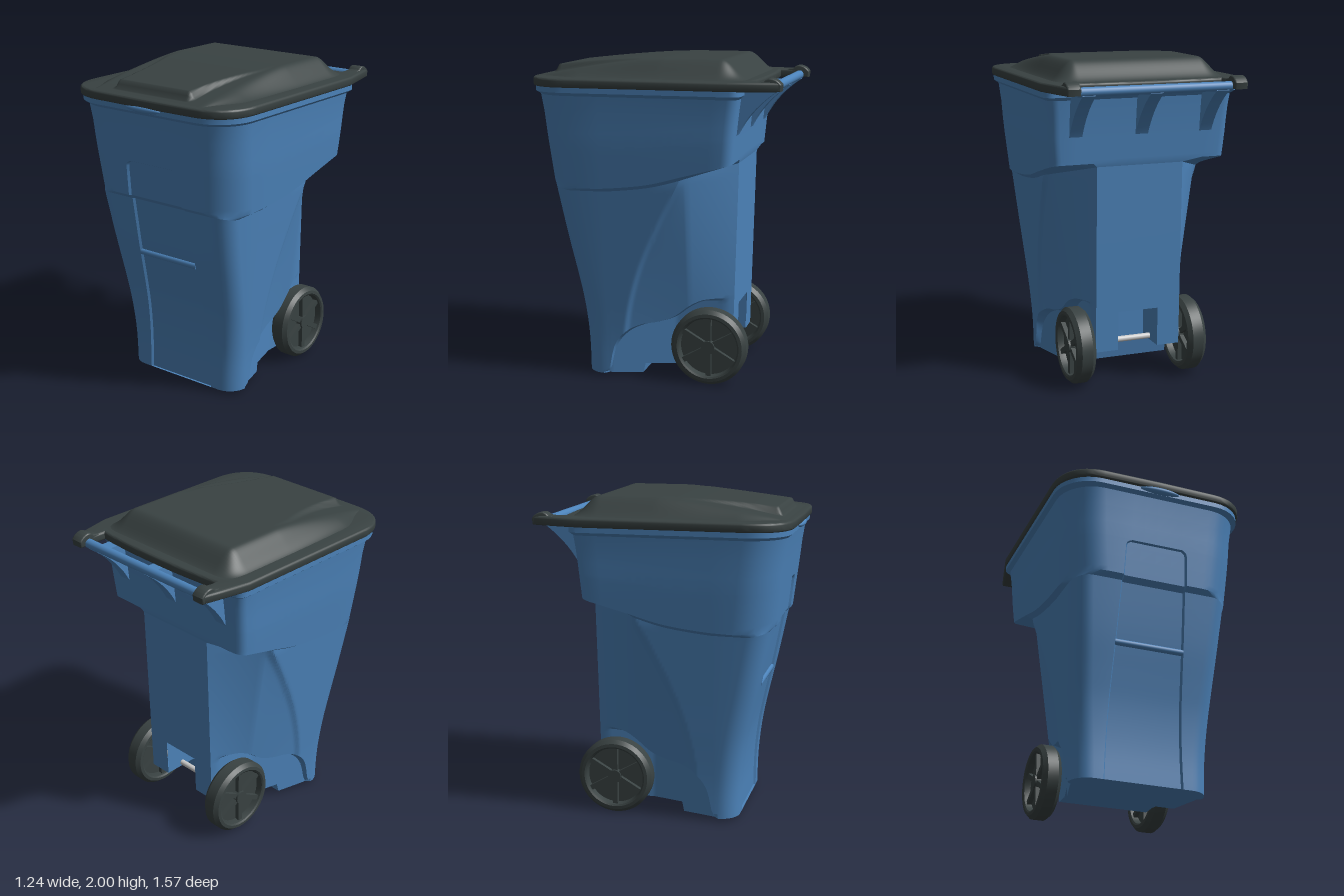
import * as THREE from 'three';
import { toCreasedNormals } from 'three/addons/utils/BufferGeometryUtils.js';

const blue = new THREE.MeshStandardMaterial({ color: 0x4c83ba, side: THREE.DoubleSide });
const dark = new THREE.MeshStandardMaterial({ color: 0x394242, side: THREE.DoubleSide });
const grey = new THREE.MeshStandardMaterial({ color: 0xcccccc });
const { lerp, smoothstep, clamp } = THREE.MathUtils;

// Smooth curve through [input, output] pairs, constant beyond the ends
const curve = (...k) => {
  const slope = k.map((_, i) => {
    const a = k[Math.max(i - 1, 0)], b = k[Math.min(i + 1, k.length - 1)];
    return (b[1] - a[1]) / (b[0] - a[0]);
  });
  return (t) => {
    if (t <= k[0][0]) return k[0][1];
    for (let i = 1; i < k.length; i++)
      if (t <= k[i][0]) {
        const h = k[i][0] - k[i - 1][0], u = (t - k[i - 1][0]) / h, v = 1 - u;
        return v * v * (1 + 2 * u) * k[i - 1][1] + u * u * (1 + 2 * v) * k[i][1]
          + h * u * v * (v * slope[i - 1] - u * slope[i]);
      }
    return k[k.length - 1][1];
  };
};

// Profiles of the lower body and the wider upper body, by height
const lower = {
  front: curve([0, .455], [.2, .459], [.35, .47], [.5, .49], [.65, .52], [.9, .575], [1.24, .642]),
  side: curve([0, .425], [.25, .432], [.6, .458], [1.24, .51]),
  back: curve([0, -.45], [1.4, -.485]), radius: .12,
};
const upper = {
  front: curve([1.2, .665], [1.5, .70], [1.78, .735], [1.80, .757], [1.83, .757]),
  side: curve([1.2, .538], [1.5, .565], [1.78, .585], [1.80, .611], [1.83, .611]),
  back: curve([1.2, -.48], [1.39, -.49], [1.78, -.53], [1.80, -.55], [1.83, -.55]), radius: .235,
};
// Sloping edge between the two, side crease, rear corner, wheel-well line, foot step
const edgeY = curve([-.49, 1.39], [-.2, 1.31], [0, 1.255], [.2, 1.225], [.4, 1.21], [.55, 1.215], [.66, 1.24]);
const creaseZ = curve([0, .2], [.35, .195], [.7, .11], [1.02, -.03], [1.28, -.17]);
const cornerX = curve([.1, .33], [1.3, .495]);
const wellY = curve([-.35, .52], [-.27, .51], [-.2, .475], [-.1, .4], [0, .365], [.1, .345], [.2, .29], [.27, .19], [.302, .04]);
const footY = (z) => (z > .09 ? .02 : z > -.21 ? .08 : .215);

const ARC = 8, SIDE = 38, CH = 10, NOTCH = .13;
const HALF = 4 + ARC + 1 + SIDE + CH + 2; // points from front centre to back centre

// One point of the half outline at height y
function outline(s, i, y) {
  const f = s.front(y), w = s.side(y), b = s.back(y), r = s.radius, low = s === lower;
  const backX = low ? .275 : .3;
  if (i < 4) {
    const top = clamp((y - 1.44) / .03, 0, 1); // rounded top of the front panel
    const p = .25 - .05 * y / 1.46 - .03 * (1 - Math.sqrt(1 - top * top));
    return [[0, p / 2, p - .01, p][i], f - (i < 3 && y < 1.472 ? .014 : 0)];
  }
  i -= 4;
  if (i <= ARC) {
    const a = i / ARC * Math.PI / 2;
    return [w - r + r * Math.sin(a), f - r + r * Math.cos(a)];
  }
  i -= ARC + 1;
  let x, z;
  if (i < SIDE) {
    z = lerp(.31, -.2, i / (SIDE - 1));
    x = w;
    if (low) {
      const c = creaseZ(y), k = clamp((c - z) / (c + .2 + 1e-4), 0, 1);
      x = lerp(w, cornerX(y), k) - .012 * smoothstep(c - z, 0, .03);
    }
  } else if (i < SIDE + CH) {
    const t = (i - SIDE + 1) / CH, q = .06;
    if (low) {
      x = lerp(cornerX(y) - .012, backX, t);
      z = lerp(-.2, b, t);
    } else {
      const a = clamp((t - .3) / .5, 0, 1) * Math.PI / 2;
      x = lerp(w - q + q * Math.cos(a), backX, clamp((t - .8) / .2, 0, 1));
      z = t <= .3 ? lerp(-.2, b + q, t / .3) : b + q - q * Math.sin(a);
    }
  } else return [i === SIDE + CH ? NOTCH : 0, b];
  // Wheel well
  if (low) x = lerp(x, Math.min(x, lerp(.29, .395, clamp((z + .1) / .4, 0, 1))), smoothstep(wellY(z) - y, -.006, .01));
  return [x, z];
}

// Closed ring whose heights follow sloping lines
function ring(s, nominal, heightAt) {
  const half = [];
  for (let i = 0; i < HALF; i++) {
    const y = heightAt(outline(s, i, nominal)[1]);
    const [x, z] = outline(s, i, y);
    half.push([x, y, z]);
  }
  return half.concat(half.slice(1, -1).reverse().map(([x, y, z]) => [-x, y, z]));
}

function quads(build) {
  const pos = [];
  build((a, b, c, d) => pos.push(...a, ...b, ...c, ...a, ...c, ...d));
  const g = new THREE.BufferGeometry();
  g.setAttribute('position', new THREE.Float32BufferAttribute(pos, 3));
  return toCreasedNormals(g, .55);
}

function loft(rows, quad, skip = () => false) {
  for (let j = 0; j + 1 < rows.length; j++)
    rows[j].forEach((p, i) => {
      const n = (i + 1) % rows[j].length;
      if (!skip(i, j)) quad(p, rows[j][n], rows[j + 1][n], rows[j + 1][i]);
    });
}

export function createModel() {
  const model = new THREE.Group();
  const add = (name, geometry, material, x = 0, y = 0, z = 0, parent = model) => {
    const m = new THREE.Mesh(geometry, material);
    m.name = name;
    m.position.set(x, y, z);
    parent.add(m);
    return m;
  };

  // Lower body: rows up to the wheel-well line, then up to the ledge
  const WELL = 12, CUT = 10, ROWS = 36, lowRows = [];
  for (let j = 0; j <= WELL; j++)
    lowRows.push(ring(lower, .04, (z) => lerp(footY(z), wellY(z) - .011, j / WELL)));
  for (let j = 0; j <= ROWS; j++) {
    const t = j / ROWS;
    lowRows.push(ring(lower, lerp(.047, 1.24, t), (z) => lerp(wellY(z) + .007, edgeY(z) - .015, t)));
  }
  add('lowerBody', quads((quad) => {
    loft(lowRows, quad, (i, j) => j < CUT && (i === HALF - 2 || i === HALF - 1));
    // Floor with foot step, raised rear and axle notch
    const m = ([x, y, z]) => [-x, y, z], base = lowRows[0];
    for (let i = 1; i < HALF - 2; i++) {
      const a = base[i], b = base[i + 1];
      if (a[2] > -.21) quad(a, m(a), m(b), b);
      else {
        const c = [NOTCH, a[1], a[2]], d = [NOTCH, b[1], b[2]];
        quad(a, c, d, b);
        quad(m(c), m(a), m(b), m(d));
      }
    }
    const top = lowRows[CUT][HALF - 2][1], n = NOTCH, q = -.225, b = -.455, y = .215;
    quad([n, y, q], [-n, y, q], [-n, top, q], [n, top, q]);
    quad([n, top, q], [-n, top, q], [-n, top, b], [n, top, b]);
    quad([n, y, b], [n, y, q], [n, top, q], [n, top, b]);
    quad([-n, y, q], [-n, y, b], [-n, top, b], [-n, top, q]);
  }), blue);

  // Upper body, ledge and rim
  const upRows = [lowRows[lowRows.length - 1]];
  for (const t of [0, .06, .2, .36, .39, .415, .427, .437, .6, .8, 1])
    upRows.push(ring(upper, lerp(1.24, 1.78, t), (z) => lerp(edgeY(z) + .008, 1.78, t)));
  for (const y of [1.8, 1.832]) upRows.push(ring(upper, y, () => y));
  add('upperBody', quads((quad) => loft(upRows, quad)), blue);

  // Grab bar on the front panel and lip under the lid
  const bar = (r, l) => new THREE.CylinderGeometry(r, r, l, 20).rotateZ(Math.PI / 2);
  add('frontGrabBar', bar(.02, .44), blue, 0, .85, .548);
  add('frontLip', new THREE.SphereGeometry(1, 32, 12).scale(.13, .022, .03), blue, 0, 1.822, .755);

  // Side profile extruded across x, with its shape x running to the rear
  const acrossX = (shape, width, bevel) => toCreasedNormals(new THREE.ExtrudeGeometry(shape, {
    depth: width - 2 * bevel, bevelEnabled: bevel > 0, bevelSize: bevel, bevelThickness: bevel, bevelSegments: 3, curveSegments: 10,
  }).rotateY(Math.PI / 2).translate(bevel - width / 2, 0, 0), .6);

  // Rear handle on three curved brackets
  add('handleBar', bar(.028, .96), blue, 0, 1.848, -.72);
  const fin = new THREE.Shape();
  fin.moveTo(.49, 1.53);
  fin.quadraticCurveTo(.57, 1.71, .74, 1.825);
  fin.lineTo(.735, 1.85);
  fin.lineTo(.69, 1.85);
  fin.lineTo(.67, 1.82);
  fin.lineTo(.5, 1.82);
  const finGeo = acrossX(fin, .08, 0);
  for (const x of [-.414, 0, .414]) add('handleBracket', finGeo, blue, x);

  // Lid rim with hinge arms
  const half = new THREE.Path();
  half.moveTo(0, -.762);
  half.lineTo(.37, -.757);
  half.bezierCurveTo(.53, -.75, .607, -.65, .607, -.5);
  half.lineTo(.607, .48);
  half.lineTo(.562, .68);
  half.lineTo(.545, .75);
  half.lineTo(.49, .75);
  half.lineTo(.483, .585);
  half.quadraticCurveTo(.25, .608, 0, .608);
  const pts = half.getPoints(12);
  const mirror = pts.slice(1, -1).reverse().map((p) => new THREE.Vector2(-p.x, p.y));
  const rim = new THREE.ExtrudeGeometry(new THREE.Shape(pts.concat(mirror)),
    { depth: .025, bevelSize: .015, bevelThickness: .015, bevelSegments: 4 });
  rim.rotateX(-Math.PI / 2);
  add('lidRim', toCreasedNormals(rim, .6), dark, 0, 1.845);
  const knob = new THREE.Shape();
  knob.moveTo(.6, 1.84);
  knob.lineTo(.77, 1.84);
  knob.lineTo(.774, 1.868);
  knob.quadraticCurveTo(.75, 1.9, .715, 1.9);
  knob.quadraticCurveTo(.7, 1.9, .685, 1.882);
  knob.lineTo(.6, 1.87);
  const knobGeo = acrossX(knob, .082, .008);
  for (const s of [-1, 1]) add('hingeArmEnd', knobGeo, dark, s * .514);

  // Domed lid top with a raised centre panel and rounded front corners
  const dome = new THREE.PlaneGeometry(1.12, 1.31, 110, 90).rotateX(-Math.PI / 2).translate(0, 0, .075);
  const p = dome.attributes.position;
  for (let i = 0; i < p.count; i++) {
    const x = Math.abs(p.getX(i)), z = p.getZ(i), u = Math.max(0, (z + .05) / .73);
    const around = 2 - .105 * Math.pow(u, 1.4);
    const panel = 2 - .058 * Math.pow(u, 1.6);
    const panelX = .28 + .09 * Math.pow(clamp((.67 - z) / .56, 0, 1), 2);
    const inside = smoothstep(panelX - x, -.015, .015) * smoothstep(.675 - z, -.01, .015);
    const ramp = smoothstep(.545 - x, -.01, .15) * smoothstep(z + .57, -.01, .17);
    p.setY(i, 1.878 + (lerp(around, panel, inside) - 1.878) * ramp);
    p.setX(i, p.getX(i) * (1 - .2 * smoothstep(z, .45, .73) * smoothstep(x, .35, .56)));
  }
  dome.computeVertexNormals();
  add('lidTop', dome, dark);

  // Wheels and axle
  add('axle', bar(.018, .7), grey, 0, .24, -.33);
  const tyre = new THREE.LatheGeometry([[.185, -.055], [.195, -.062], [.215, -.06], [.237, -.035], [.237, .035], [.215, .06],
    [.195, .062], [.185, .055], [.178, .01], [.178, -.01], [.185, -.055]].map(([r, h]) => new THREE.Vector2(r, h)), 48);
  const tyreGeo = toCreasedNormals(tyre.rotateZ(-Math.PI / 2), .7);
  for (const s of [-1, 1]) {
    const wheel = new THREE.Group();
    wheel.name = 'wheel';
    wheel.position.set(s * .365, .238, -.33);
    model.add(wheel);
    add('tyre', tyreGeo, dark, 0, 0, 0, wheel);
    add('wheelDisc', bar(.183, .03), dark, 0, 0, 0, wheel);
    add('hub', bar(.042, .11), dark, 0, 0, 0, wheel);
    for (let k = 0; k < 6; k++)
      add('spoke', new THREE.BoxGeometry(.085, .15, .032).translate(0, .108, 0), dark, 0, 0, 0, wheel)
        .rotation.x = k * Math.PI / 3;
  }
  return model;
}
